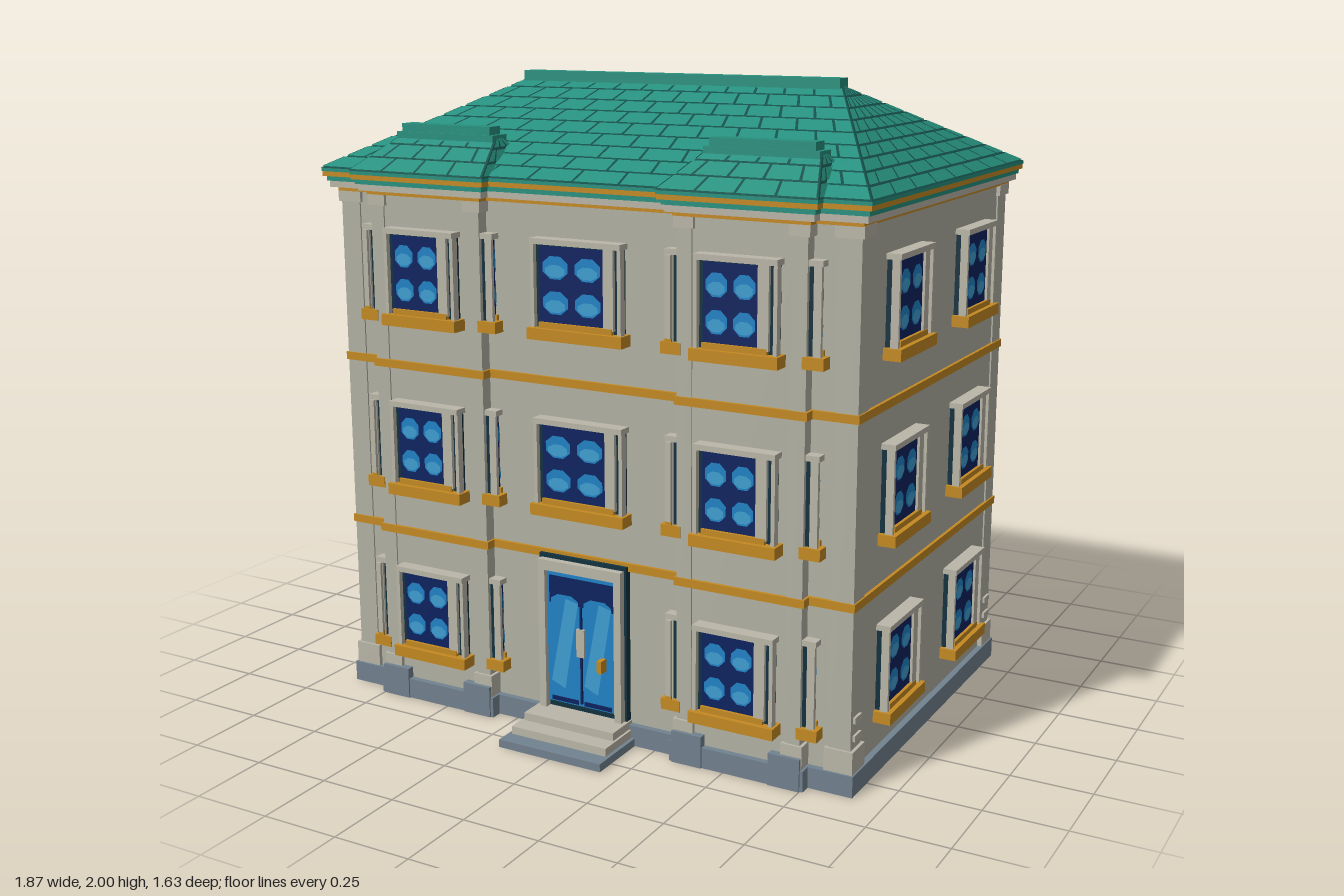
import * as THREE from 'three';

const mat = (name, color, side = THREE.FrontSide) => {
  const m = new THREE.MeshStandardMaterial({ color, side });
  m.name = name;
  return m;
};
const M = {
  wall: mat('wall stone', 0xb3b2a4),
  trim: mat('pale trim', 0xbab6a8),
  slate: mat('slate grey', 0x728290),
  tile: mat('teal tile', 0x27917f, THREE.DoubleSide),
  groove: mat('dark teal groove', 0x15504a, THREE.DoubleSide),
  ochre: mat('ochre', 0xc48a22),
  navy: mat('navy glass', 0x0d2360),
  blue: mat('blue', 0x2183c6),
  sky: mat('light blue', 0x3f9fd2),
  shadow: mat('dark recess', 0x11313f),
};

// Box given by its extents
function box(parent, name, m, x0, x1, y0, y1, z0, z1) {
  const mesh = new THREE.Mesh(new THREE.BoxGeometry(x1 - x0, y1 - y0, z1 - z0), m);
  mesh.position.set((x0 + x1) / 2, (y0 + y1) / 2, (z0 + z1) / 2);
  mesh.name = name;
  parent.add(mesh);
  return mesh;
}

// Flat polygon facing +z
function plate(parent, name, m, pts, z) {
  const shape = new THREE.Shape(pts.map(([x, y]) => new THREE.Vector2(x, y)));
  const mesh = new THREE.Mesh(new THREE.ShapeGeometry(shape), m);
  mesh.position.z = z;
  mesh.name = name;
  parent.add(mesh);
}

// Window facing +z, its sill starting at local y = 0
function makeWindow(w) {
  const g = new THREE.Group(), h = w / 2;
  g.name = 'window';
  box(g, 'windowRecess', M.shadow, -h + 0.008, h - 0.008, 0.03, 0.29, -0.01, 0.026);
  box(g, 'sill', M.ochre, -h - 0.008, h + 0.008, 0, 0.035, -0.01, 0.055);
  box(g, 'lintel', M.trim, -h, h, 0.285, 0.302, -0.01, 0.045);
  for (const s of [-1, 1]) {
    const x = s * (h - 0.006);
    box(g, 'outerJamb', M.trim, x - 0.006, x + 0.006, 0.035, 0.285, 0.018, 0.042);
  }
  // glazing sits left of centre, with a broad jamb on the right
  const l = -h + 0.025, r = h - 0.062 * Math.min(1, w / 0.26);
  box(g, 'glass', M.navy, l, r, 0.05, 0.28, 0.02, 0.03);
  box(g, 'innerJamb', M.trim, r, r + 0.034, 0.045, 0.285, 0.02, 0.038);
  box(g, 'innerSill', M.ochre, l, r + 0.03, 0.035, 0.052, 0.02, 0.04);
  const pw = (r - l) / 2;
  for (let i = 0; i < 2; i++) for (let j = 0; j < 2; j++) {
    const cx = l + pw * (i + 0.5), cy = 0.112 + j * 0.105;
    const blob = (name, m, sx, sy, dx, dy, z) => {
      const b = new THREE.Mesh(new THREE.CircleGeometry(1, 8, Math.PI / 8), m);
      b.scale.set(sx, sy, 1);
      b.position.set(cx + dx, cy + dy, z);
      b.name = name;
      g.add(b);
    };
    blob('pane', M.blue, pw * 0.42, 0.037, 0, 0, 0.0315);
    blob('paneHighlight', M.sky, pw * 0.33, 0.02, 0, -0.01, 0.033);
  }
  return g;
}

// Double door facing +z, from the top step upward
function makeDoor(w, top) {
  const g = new THREE.Group(), h = w / 2, y0 = 0.075;
  g.name = 'door';
  box(g, 'doorSurround', M.shadow, -h, h, y0, top, -0.01, 0.022);
  for (const s of [-1, 1])
    box(g, 'doorJamb', M.trim, s * (h - 0.02) - 0.012, s * (h - 0.02) + 0.012, y0, top - 0.012, 0, 0.045);
  box(g, 'doorHead', M.trim, -h + 0.008, h - 0.008, top - 0.045, top - 0.012, 0, 0.045);
  const e = h - 0.032, t = top - 0.05;
  box(g, 'doorLeaf', M.blue, -e, e, y0 + 0.02, t, 0, 0.03);
  plate(g, 'transom', M.navy, [[-e + 0.008, t - 0.1], [e - 0.008, t - 0.1], [e - 0.008, t - 0.012], [-e + 0.008, t - 0.012]], 0.031);
  for (const s of [-1, 1]) {
    const c = s * e * 0.48, p = e * 0.4;
    plate(g, 'doorPanel', M.blue, [[c - p, t - 0.11], [c + p, t - 0.11], [c + p, t - 0.085],
      [c + p * 0.5, t - 0.07], [c - p * 0.5, t - 0.07], [c - p, t - 0.085]], 0.0325);
    plate(g, 'doorSheen', M.sky, [[c - p, y0 + 0.09], [c, y0 + 0.07], [c + p, t - 0.09],
      [c + p * 0.1, t - 0.08]], 0.034);
    plate(g, 'doorFoot', M.navy, [[c - p, y0 + 0.025], [c + p, y0 + 0.025], [c + p, y0 + 0.04], [c - p, y0 + 0.04]], 0.034);
  }
  box(g, 'doorSeam', M.navy, -0.003, 0.003, y0 + 0.03, t - 0.1, 0.02, 0.036);
  box(g, 'doorPlate', M.trim, -0.014, 0.014, 0.26, 0.35, 0.02, 0.04);
  box(g, 'doorKnob', M.ochre, e * 0.58, e * 0.58 + 0.016, 0.23, 0.27, 0.02, 0.06);
  return g;
}

// Roof slope: eave corners a, b and ridge corners c (over b), d (over a), with tiles
function slope(parent, a, b, c, d, rows, cols) {
  const [A, B, C, D] = [a, b, c, d].map((p) => new THREE.Vector3(...p));
  const n = B.clone().sub(A).cross(C.clone().add(D).sub(A).sub(B)).normalize();
  const at = (u, v, off) => A.clone().lerp(B, u).lerp(D.clone().lerp(C, u), v).addScaledVector(n, off);
  const build = (name, m, quads, off) => {
    const pos = [];
    for (const [u0, u1, v0, v1] of quads) {
      const q = [at(u0, v0, off), at(u1, v0, off), at(u1, v1, off), at(u0, v1, off)];
      for (const i of [0, 1, 2, 0, 2, 3]) pos.push(q[i].x, q[i].y, q[i].z);
    }
    const geo = new THREE.BufferGeometry();
    geo.setAttribute('position', new THREE.Float32BufferAttribute(pos, 3));
    geo.computeVertexNormals();
    const mesh = new THREE.Mesh(geo, m);
    mesh.name = name;
    parent.add(mesh);
  };
  const height = A.clone().add(B).distanceTo(C.clone().add(D)) / 2, gv = 0.0045 / height;
  const quads = [];
  for (let r = 0; r < rows; r++) {
    const v0 = r / rows, v1 = (r + 1) / rows;
    const width = A.distanceTo(B) * (1 - v0) + D.distanceTo(C) * v0, gu = 0.0045 / width;
    for (let i = 0; i <= cols; i++) {
      const s = i - (r % 2) * 0.5;
      const u0 = Math.max(0, s / cols) + gu, u1 = Math.min(1, (s + 1) / cols) - gu;
      if (u1 > u0) quads.push([u0, u1, v0 + gv, v1 - gv]);
    }
  }
  build('roofBed', M.groove, [[0, 1, 0, 1]], 0);
  build('roofTiles', M.tile, quads, 0.004);
}

// Hipped roof from eave rectangle to ridge line
function hipRoof(parent, x0, x1, z0, z1, y, rx0, rx1, rz, ry, rows, cols, hipCols) {
  const g = new THREE.Group();
  g.name = 'hippedRoof';
  const L = [rx0, ry, rz], R = [rx1, ry, rz];
  slope(g, [x0, y, z1], [x1, y, z1], R, L, rows, cols);
  slope(g, [x1, y, z0], [x0, y, z0], L, R, rows, cols);
  slope(g, [x1, y, z1], [x1, y, z0], R, R, rows, hipCols);
  slope(g, [x0, y, z0], [x0, y, z1], L, L, rows, hipCols);
  parent.add(g);
}

export function createModel() {
  const house = new THREE.Group();
  house.name = 'townHouse';

  // Main block and two shallow front bays, ringed by bands
  const plans = [[-0.88, 0.88, -0.6, 0.59], [-0.74, -0.34, 0.4, 0.625], [0.34, 0.74, 0.4, 0.625]];
  const band = (name, m, y0, y1, out) => {
    for (const [x0, x1, z0, z1] of plans) box(house, name, m, x0 - out, x1 + out, y0, y1, z0 - out, z1 + out);
  };
  band('walls', M.wall, 0.02, 1.7, 0);
  band('plinth', M.slate, 0, 0.065, 0.02);
  band('stringCourse', M.ochre, 0.555, 0.58, 0.01);
  band('stringCourse', M.ochre, 1.1, 1.125, 0.01);
  band('corniceLine', M.ochre, 1.643, 1.655, 0.012);
  band('cornice', M.trim, 1.655, 1.675, 0.03);
  band('corniceStripe', M.tile, 1.675, 1.69, 0.036);
  band('eaveLine', M.ochre, 1.69, 1.705, 0.045);
  band('eave', M.tile, 1.705, 1.716, 0.047);

  // Corner pilasters with pedestals and capitals
  const pilaster = (x0, x1, z0, z1) => {
    box(house, 'pilaster', M.wall, x0, x1, 0.06, 1.65, z0, z1);
    box(house, 'pilasterFoot', M.trim, x0 - 0.01, x1 + 0.01, 0.06, 0.135, z0 - 0.008, z1 + 0.008);
    box(house, 'capital', M.trim, x0 - 0.008, x1 + 0.008, 1.61, 1.645, z0 - 0.006, z1 + 0.006);
  };
  for (const s of [-1, 1]) {
    for (const [z0, z1] of [[0.52, 0.595], [-0.605, -0.53]]) {
      const xs = [s * 0.815, s * 0.885].sort((a, b) => a - b);
      pilaster(xs[0], xs[1], z0, z1);
      for (const y of [0.16, 0.215]) {
        const c = (z0 + z1) / 2;
        box(house, 'cornerBlock', M.trim, s * 0.885 - 0.008, s * 0.885 + 0.008, y, y + 0.018, c - 0.024, c + 0.024);
      }
    }
    for (const c of [0.362, 0.718]) {
      pilaster(s * c - 0.024, s * c + 0.024, 0.58, 0.63);
      const px = s * (c < 0.5 ? 0.38 : 0.70);
      box(house, 'pedestal', M.slate, px - 0.05, px + 0.05, 0, 0.1, 0.5, 0.65);
    }
    // Rear downpipes
    const pipe = new THREE.Mesh(new THREE.CylinderGeometry(0.013, 0.013, 1.6, 8), M.tile);
    pipe.position.set(s * 0.805, 0.86, -0.612);
    pipe.name = 'downpipe';
    house.add(pipe);
  }

  // Windows on every side
  const addWindow = (w, x, y, z, turn = 0) => {
    const win = makeWindow(w);
    win.position.set(x, y, z);
    win.rotation.y = turn;
    house.add(win);
  };
  [0.155, 0.7, 1.245].forEach((y, row) => {
    if (row > 0) addWindow(0.31, 0, y, 0.59);
    for (const s of [-1, 1]) {
      addWindow(0.26, s * 0.54, y, 0.625);
      addWindow(0.27, s * 0.43, y, -0.6, Math.PI);
      for (const z of [0.275, -0.285]) addWindow(0.27, s * 0.88, y, z, s * Math.PI / 2);
      addWindow(0.1, s * 0.74, y, 0.575, s * Math.PI / 2);
      addWindow(0.1, s * 0.34, y, 0.575, -s * Math.PI / 2);
    }
  });

  // Doors, rear canopy and steps
  const front = makeDoor(0.31, 0.57);
  front.position.z = 0.59;
  const back = makeDoor(0.26, 0.5);
  back.position.z = -0.6;
  back.rotation.y = Math.PI;
  house.add(front, back);
  box(house, 'rearCanopy', M.slate, -0.165, 0.165, 0.49, 0.512, -0.688, -0.59);
  for (const s of [-1, 1]) [[0.815, 0.18, M.slate], [0.762, 0.168, M.trim], [0.705, 0.16, M.trim]].forEach(([z, hw, m], i) => {
    const zs = [s * 0.55, s * z].sort((a, b) => a - b);
    box(house, 'step', m, -hw, hw, i * 0.025, (i + 1) * 0.025, zs[0], zs[1]);
  });

  // Main roof, bay roofs and ridge caps
  hipRoof(house, -0.928, 0.928, -0.64, 0.64, 1.716, -0.56, 0.56, 0, 1.975, 9, 12, 8);
  box(house, 'ridgeCap', M.tile, -0.565, 0.565, 1.965, 2, -0.03, 0.03);
  for (const s of [-1, 1]) {
    const c = s * 0.54;
    hipRoof(house, c - 0.248, c + 0.248, 0.33, 0.674, 1.716, c - 0.17, c + 0.17, 0.475, 1.825, 3, 4, 3);
    box(house, 'bayRidgeBase', M.tile, c - 0.18, c + 0.18, 1.79, 1.828, 0.44, 0.515);
    box(house, 'bayRidgeCap', M.tile, c - 0.165, c + 0.165, 1.82, 1.853, 0.452, 0.508);
  }
  return house;
}
